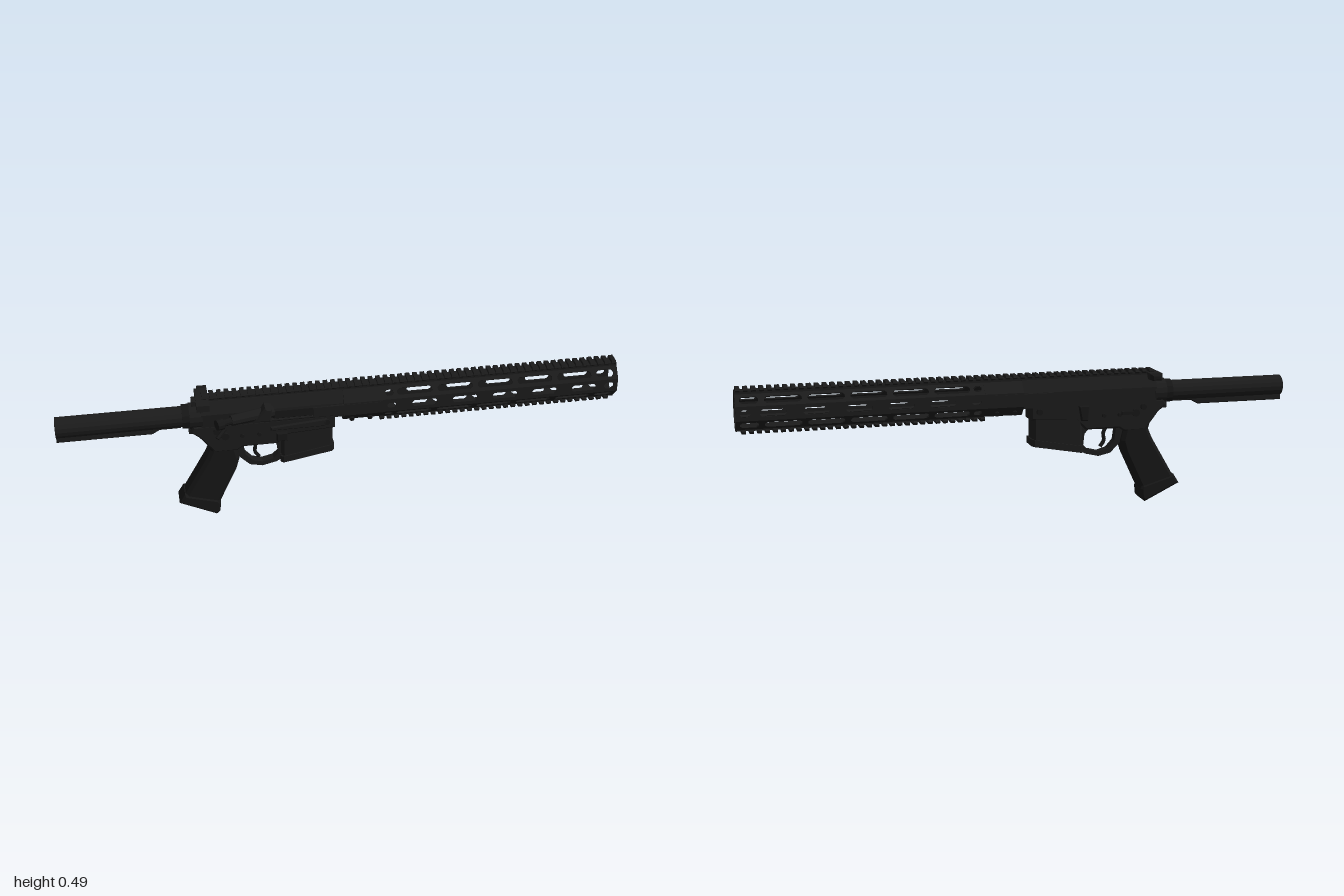
import * as THREE from 'three';

const body = new THREE.MeshStandardMaterial({ color: 0x1b1b1b, flatShading: true });
body.name = 'black metal';
const dark = new THREE.MeshStandardMaterial({ color: 0x161616, flatShading: true });
dark.name = 'dark polymer';
const CZ = -0.018; // centre plane of the body

export function createModel() {
  const root = new THREE.Group();

  const add = (name, geo, mat = body, parent = root) => {
    const m = new THREE.Mesh(geo, mat);
    m.name = name;
    parent.add(m);
    return m;
  };
  const group = (name) => {
    const g = new THREE.Group();
    g.name = name;
    root.add(g);
    return g;
  };
  const box = (name, x0, x1, y0, y1, z0, z1, mat, parent) =>
    add(name, new THREE.BoxGeometry(x1 - x0, y1 - y0, z1 - z0)
      .translate((x0 + x1) / 2, (y0 + y1) / 2, (z0 + z1) / 2), mat, parent);
  const shapeOf = (pts) => new THREE.Shape(pts.map((p) => new THREE.Vector2(p[0], p[1])));
  const pathOf = (pts) => new THREE.Path(pts.map((p) => new THREE.Vector2(p[0], p[1])));
  // side profile extruded over a z range, with chamfered edges
  const plate = (name, pts, z0, z1, mat, bevel = 0.006, holes = [], parent = root) => {
    const s = shapeOf(pts);
    holes.forEach((h) => s.holes.push(pathOf(h)));
    const geo = new THREE.ExtrudeGeometry(s, {
      depth: z1 - z0 - 2 * bevel, bevelEnabled: bevel > 0, bevelThickness: bevel,
      bevelSize: bevel, bevelOffset: -bevel, bevelSegments: 1 });
    return add(name, geo.translate(0, 0, z0 + bevel), mat, parent);
  };
  // cylinder between two points
  const rod = (name, a, b, ra, rb = ra, sides = 12, mat = body, parent = root) => {
    const A = new THREE.Vector3(...a), B = new THREE.Vector3(...b);
    const d = B.clone().sub(A);
    const m = add(name, new THREE.CylinderGeometry(rb, ra, d.length(), sides), mat, parent);
    m.position.copy(A).add(B).multiplyScalar(0.5);
    m.quaternion.setFromUnitVectors(new THREE.Vector3(0, 1, 0), d.normalize());
    return m;
  };
  // section in (z, y) extruded along x
  const along = (name, pts, x0, x1, mat, parent = root, hole) => {
    const s = shapeOf(pts.map(([z, y]) => [-z, y]));
    if (hole) s.holes.push(pathOf(hole.map(([z, y]) => [-z, y])));
    const geo = new THREE.ExtrudeGeometry(s, { depth: x1 - x0, bevelEnabled: false });
    return add(name, geo.rotateY(Math.PI / 2).translate(x0, 0, 0), mat, parent);
  };

  // ---- Slotted handguard: eight panels round an octagon
  const guard = group('handguard');
  const oct = (w, k = 1) => [[w, 0.385], [w, 0.435], [0.022, 0.472], [-0.022, 0.472],
    [-w, 0.435], [-w, 0.385], [-0.022, 0.35], [0.022, 0.35]]
    .map(([z, y]) => [CZ + z * k, 0.411 + (y - 0.411) * k]);
  const ring = oct(0.053);
  const slot = (a, b, c, h) => {
    const k = h * 0.6;
    return pathOf([[a, c - h + k], [a, c + h - k], [a + k, c + h], [b - k, c + h],
      [b, c + h - k], [b, c - h + k], [b - k, c - h], [a + k, c - h]]);
  };
  ring.forEach((p, i) => {
    const q = ring[(i + 1) % 8];
    const len = Math.hypot(q[0] - p[0], q[1] - p[1]);
    const s = shapeOf([[0.12, 0], [1, 0], [1, len], [0.12, len]]);
    if (i % 2) {
      s.holes.push(slot(0.15, 0.178, len / 2, 0.011));
      for (let n = 0; n < 6; n++) {
        const a = 0.192 + n * 0.146;
        s.holes.push(slot(a, Math.min(a + 0.126, 0.985), len / 2, 0.013));
      }
    } else if (i % 4 === 0) {
      s.holes.push(slot(0.155, 0.187, len / 2, 0.009));
      for (let n = 0; n < 5; n++) s.holes.push(slot(0.245 + n * 0.146, 0.335 + n * 0.146, len / 2, 0.012));
      s.holes.push(slot(0.95, 0.985, len / 2, 0.012));
    }
    const t = 0.006;
    const X = new THREE.Vector3(1, 0, 0);
    const V = new THREE.Vector3(0, (q[1] - p[1]) / len, (q[0] - p[0]) / len);
    const N = new THREE.Vector3().crossVectors(X, V);
    const geo = new THREE.ExtrudeGeometry(s, { depth: t, bevelEnabled: false }).translate(0, 0, -t);
    geo.applyMatrix4(new THREE.Matrix4().makeBasis(X, V, N).setPosition(0, p[1], p[0]));
    add('handguardPanel', geo, body, guard);
  });
  along('handguardCollar', oct(0.055), 0, 0.14, body, guard, oct(0.053, 0.86));
  for (const s of [1, -1]) {
    box('collarPad', -0.11, 0.13, 0.392, 0.43, CZ + s * 0.053 - 0.004, CZ + s * 0.053 + 0.004, body, guard);
    for (const x of [0.03, 0.095])
      rod('collarScrew', [x, 0.365, CZ + s * 0.03], [x, 0.36, CZ + s * 0.044], 0.009, 0.009, 8, dark, guard);
  }

  // ---- Toothed rails, top and bottom
  const rail = (name, x0, x1, yBase, dir) => {
    const g = group(name);
    const span = (a, b) => [Math.min(a, b), Math.max(a, b)];
    box('railBase', x0, x1, ...span(yBase, yBase + dir * 0.013), CZ - 0.019, CZ + 0.019, body, g);
    const y = yBase + dir * 0.009, e = yBase + dir * 0.023;
    const pts = [[-0.021, y], [-0.026, y + dir * 0.006], [-0.021, e], [0.021, e], [0.026, y + dir * 0.006], [0.021, y]];
    for (let x = x0; x + 0.015 <= x1 + 0.001; x += 0.0268)
      along('railTooth', pts.map(([z, v]) => [z + CZ, v]), x, x + 0.015, body, g);
  };
  rail('topRail', -0.493, 1, 0.47, 1);
  rail('bottomRail', 0.135, 1, 0.357, -1);

  // ---- Upper receiver
  along('upperReceiver', [[0.042, 0.375], [0.044, 0.43], [0.022, 0.473], [-0.022, 0.473], [-0.044, 0.43], [-0.042, 0.375]]
    .map(([z, y]) => [z + CZ, y]), -0.5, 0.0);
  const nut = add('mountingRing', new THREE.TorusGeometry(0.03, 0.008, 6, 16).rotateY(Math.PI / 2), dark);
  nut.position.set(0.004, 0.411, CZ);
  rod('mountingHub', [-0.01, 0.411, CZ], [0.008, 0.411, CZ], 0.014, 0.014, 12, dark);
  plate('sideCover', [[-0.25, 0.397], [-0.05, 0.397], [-0.05, 0.432], [-0.25, 0.432]], 0.02, 0.036, dark, 0.003);
  rod('coverHinge', [-0.26, 0.392, 0.031], [-0.04, 0.392, 0.031], 0.006, 0.006, 8);
  plate('deflector', [[-0.32, 0.405], [-0.26, 0.4], [-0.255, 0.45], [-0.28, 0.456]], 0.01, 0.058);
  rod('angledHousing', [-0.25, 0.42, 0.018], [-0.4, 0.42, 0.056], 0.023, 0.019, 10);
  rod('angledButton', [-0.39, 0.42, 0.054], [-0.435, 0.42, 0.07], 0.013, 0.013, 10, dark);
  rod('buttonCap', [-0.43, 0.42, 0.069], [-0.452, 0.42, 0.078], 0.021, 0.019, 10, dark);

  // ---- Rear pull handle
  box('pullHandleBar', -0.515, -0.47, 0.458, 0.482, -0.075, 0.046);
  plate('pullHandleLatch', [[-0.505, 0.46], [-0.47, 0.46], [-0.47, 0.48], [-0.505, 0.48]], -0.1, -0.06, dark, 0.004);
  box('pullHandleStem', -0.53, -0.4, 0.455, 0.474, CZ - 0.018, CZ + 0.018);

  // ---- Lower receiver
  plate('lowerReceiver', [[-0.53, 0.385], [-0.54, 0.362], [-0.51, 0.338], [-0.485, 0.305], [-0.46, 0.272],
    [-0.38, 0.272], [-0.36, 0.285], [-0.235, 0.285], [-0.2, 0.32], [-0.03, 0.33], [-0.03, 0.385]],
    CZ - 0.039, CZ + 0.043);
  // open well with a sloping lower rim
  const rect = (x0, x1, w, c) => [[x0 + c, CZ - w], [x1 - c, CZ - w], [x1, CZ - w + c], [x1, CZ + w - c],
    [x1 - c, CZ + w], [x0 + c, CZ + w], [x0, CZ + w - c], [x0, CZ - w + c]];
  const well = (name, x0, x1, w, top, lip) => {
    const s = shapeOf(rect(x0, x1, w, 0.01));
    s.holes.push(pathOf(rect(-0.208, -0.052, 0.03, 0.006)));
    const geo = new THREE.ExtrudeGeometry(s, { depth: 1, bevelEnabled: false }).rotateX(Math.PI / 2);
    const p = geo.attributes.position;
    for (let i = 0; i < p.count; i++) {
      const rim = 0.235 - (-0.035 - p.getX(i)) * 0.18;
      p.setY(i, p.getY(i) < -0.5 ? rim : lip ? rim + lip : top);
    }
    geo.computeVertexNormals();
    add(name, geo);
  };
  well('well', -0.222, -0.038, 0.038, 0.34, 0);
  well('wellRim', -0.226, -0.033, 0.043, 0, 0.025);

  // trigger guard and trigger
  const bow = [[-0.4, 0.275], [-0.37, 0.225], [-0.335, 0.19], [-0.29, 0.18], [-0.24, 0.192], [-0.205, 0.21], [-0.2, 0.295], [-0.38, 0.295]];
  const gap = [[-0.356, 0.28], [-0.35, 0.235], [-0.325, 0.207], [-0.29, 0.197], [-0.25, 0.207], [-0.232, 0.225], [-0.236, 0.265], [-0.25, 0.281]];
  plate('triggerGuard', bow, CZ - 0.015, CZ + 0.015, body, 0, [gap]);
  add('trigger', new THREE.TubeGeometry(new THREE.CatmullRomCurve3([[-0.325, 0.29], [-0.312, 0.262], [-0.315, 0.235], [-0.3, 0.212]]
    .map(([x, y]) => new THREE.Vector3(x, y, CZ))), 8, 0.007, 6), dark);

  // controls and pins
  const controls = group('controls');
  for (const s of [1, -1]) {
    const z = CZ + s * 0.04;
    for (const [x, y, r] of [[-0.45, 0.36, 0.011], [-0.36, 0.335, 0.007], [-0.3, 0.335, 0.007], [-0.06, 0.36, 0.011]])
      rod('pin', [x, y, z - 0.006 * s], [x, y, z + 0.01 * s], r, r, 10, dark, controls);
    rod('selectorHub', [-0.42, 0.34, z], [-0.42, 0.34, z + 0.012 * s], 0.014, 0.014, 10, dark, controls);
  }
  const lever = box('selectorLever', -0.03, 0.03, -0.006, 0.006, -0.005, 0.005, dark, controls);
  lever.position.set(-0.395, 0.342, CZ - 0.052);
  rod('angledLever', [-0.42, 0.372, 0.03], [-0.45, 0.348, 0.053], 0.008, 0.008, 6, dark, controls);
  plate('releaseButton', [[-0.24, 0.3], [-0.2, 0.3], [-0.2, 0.335], [-0.24, 0.335]], 0.015, 0.036, dark, 0.004, [], controls);
  plate('controlFence', [[-0.26, 0.345], [-0.06, 0.345], [-0.06, 0.375], [-0.26, 0.36]], 0.01, 0.032, body, 0.004, [], controls);
  plate('catchPaddle', [[-0.24, 0.32], [-0.215, 0.32], [-0.205, 0.375], [-0.245, 0.375]], -0.068, -0.045, dark, 0.004, [], controls);

  // ---- Pistol grip with flared foot
  plate('grip', [[-0.485, 0.31], [-0.475, 0.275], [-0.49, 0.24], [-0.58, 0.085], [-0.46, 0.03], [-0.385, 0.19],
    [-0.372, 0.235], [-0.385, 0.29]], CZ - 0.038, CZ + 0.04, dark, 0.012);
  plate('gripFoot', [[-0.575, 0.1], [-0.596, 0.066], [-0.465, 0.003], [-0.452, 0.015], [-0.448, 0.05], [-0.455, 0.065]],
    CZ - 0.042, CZ + 0.045, dark, 0.008);

  // ---- Rear tube with lower spine
  rod('rearTube', [-1, 0.408, CZ], [-0.5, 0.408, CZ], 0.0375, 0.0375, 16);
  plate('tubeSpine', [[-1, 0.355], [-0.67, 0.355], [-0.645, 0.37], [-0.57, 0.37], [-0.57, 0.39], [-1, 0.39]], CZ - 0.017, CZ + 0.017, body, 0.003);
  rod('lockRing', [-0.565, 0.408, CZ], [-0.535, 0.408, CZ], 0.043, 0.043, 12, dark);
  rod('endPlate', [-0.54, 0.408, CZ], [-0.495, 0.408, CZ], 0.047, 0.047, 16);
  box('endPlateTab', -0.545, -0.525, 0.35, 0.41, CZ - 0.028, CZ + 0.028);

  return root;
}
